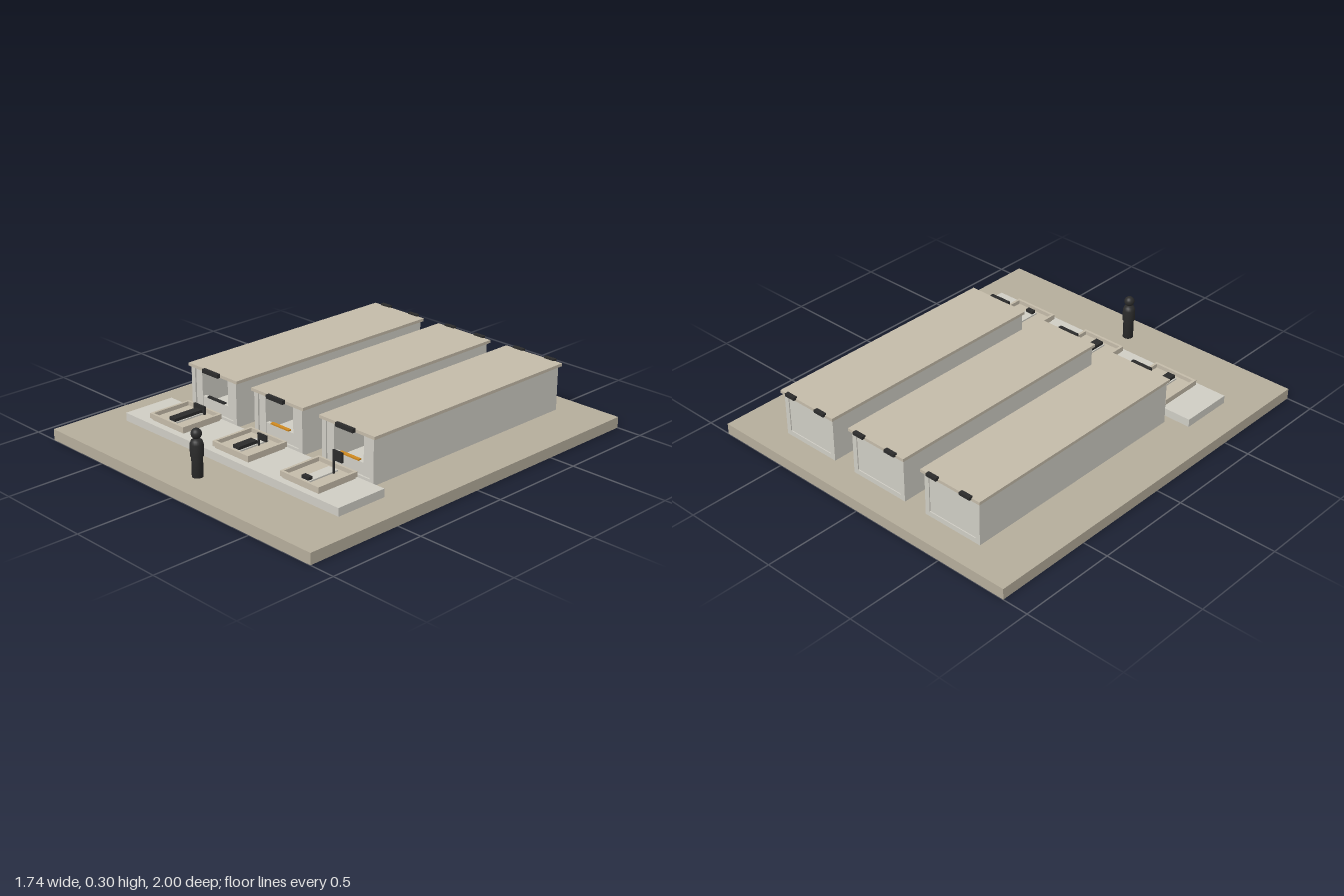
import * as THREE from 'three';

const mat = (color) => new THREE.MeshStandardMaterial({ color });
const stone = mat(0xb5ad9b), tan = mat(0xc4bba9), pale = mat(0xcfcdc4), dark = mat(0x2b2b2b), amber = mat(0xd08a20);

// Box given by its extents along each axis
function box(parent, name, material, [x0, x1], [y0, y1], [z0, z1]) {
  const m = new THREE.Mesh(new THREE.BoxGeometry(x1 - x0, y1 - y0, z1 - z0), material);
  m.position.set((x0 + x1) / 2, (y0 + y1) / 2, (z0 + z1) / 2);
  m.name = name;
  parent.add(m);
  return m;
}

// Long hollow hall with a window in its front end
function makeHall(lit) {
  const g = new THREE.Group();
  g.name = 'hall';
  box(g, 'hallFloor', pale, [-0.16, 0.16], [0.055, 0.08], [-0.86, 0.38]);
  box(g, 'roof', tan, [-0.172, 0.172], [0.277, 0.292], [-0.872, 0.387]);
  box(g, 'backWall', pale, [-0.14, 0.14], [0.08, 0.277], [-0.855, -0.84]);
  box(g, 'windowSill', pale, [-0.092, 0.092], [0.08, 0.14], [0.35, 0.37]);
  box(g, 'sillStrip', lit ? amber : dark, [-0.06, 0.06], [0.14, 0.147], [0.355, 0.372]);
  for (const s of [-1, 1]) {
    const span = (a, b) => [Math.min(s * a, s * b), Math.max(s * a, s * b)];
    box(g, 'sideWall', pale, span(0.135, 0.16), [0.08, 0.277], [-0.86, 0.38]);
    box(g, 'frontJamb', pale, span(0.092, 0.135), [0.08, 0.277], [0.35, 0.372]);
    box(g, 'rearRoofTab', dark, span(0.067, 0.127), [0.285, 0.3], [-0.885, -0.865]);
  }
  box(g, 'frontRoofTab', dark, [-0.055, 0.055], [0.277, 0.296], [0.385, 0.403]);
  return g;
}

// Rimmed tray with a progress track; fillBack is the z where the dark bar ends
function makeTray(fillBack) {
  const g = new THREE.Group();
  g.name = 'tray';
  box(g, 'trayBase', tan, [-0.112, 0.112], [0.095, 0.11], [0.442, 0.66]);
  for (const [a, b] of [[-0.12, -0.107], [0.107, 0.12]])
    box(g, 'sideRim', tan, [a, b], [0.105, 0.13], [0.437, 0.668]);
  for (const [a, b] of [[0.437, 0.448], [0.655, 0.668]])
    box(g, 'endRim', tan, [-0.107, 0.107], [0.105, 0.13], [a, b]);
  box(g, 'track', pale, [-0.028, 0.028], [0.11, 0.117], [0.465, 0.635]);
  box(g, 'progressBar', dark, [-0.021, 0.021], [0.112, 0.132], [fillBack, 0.633]);
  return g;
}

// Small flag on a thin post
function addFlag(tray, z, low, high) {
  box(tray, 'flagPost', dark, [0.026, 0.034], [0.11, high], [z - 0.004, z + 0.004]);
  box(tray, 'flag', dark, [0.03, 0.084], [low, high], [z - 0.005, z + 0.005]);
}

export function createModel() {
  const model = new THREE.Group();
  model.name = 'hallDisplay';
  box(model, 'ground', stone, [-0.87, 0.87], [0, 0.055], [-1, 1]);
  box(model, 'platform', pale, [-0.715, 0.715], [0.055, 0.095], [0.423, 0.695]);

  // Three halls, each with its own tray in front
  const fills = [0.47, 0.525, 0.61];
  fills.forEach((fill, i) => {
    const hall = makeHall(i > 0), tray = makeTray(fill);
    hall.position.x = tray.position.x = (i - 1) * 0.447;
    if (i === 0) box(tray, 'endStop', dark, [-0.038, 0.038], [0.11, 0.15], [0.463, 0.474]);
    if (i === 1) addFlag(tray, 0.525, 0.143, 0.172);
    if (i === 2) addFlag(tray, 0.492, 0.175, 0.222);
    model.add(hall, tray);
  });

  // Standing figure: turned body and round head
  const figure = new THREE.Group();
  figure.name = 'figure';
  const profile = [[0, 0], [0.026, 0], [0.026, 0.095], [0.031, 0.1], [0.031, 0.155], [0.025, 0.172], [0.012, 0.18], [0, 0.18]];
  const body = new THREE.Mesh(new THREE.LatheGeometry(profile.map(([x, y]) => new THREE.Vector2(x, y)), 24), dark);
  body.name = 'figureBody';
  const head = new THREE.Mesh(new THREE.SphereGeometry(0.025, 24, 16), dark);
  head.name = 'figureHead';
  head.position.y = 0.203;
  figure.add(body, head);
  figure.position.set(0, 0.055, 0.855);
  model.add(figure);
  return model;
}
